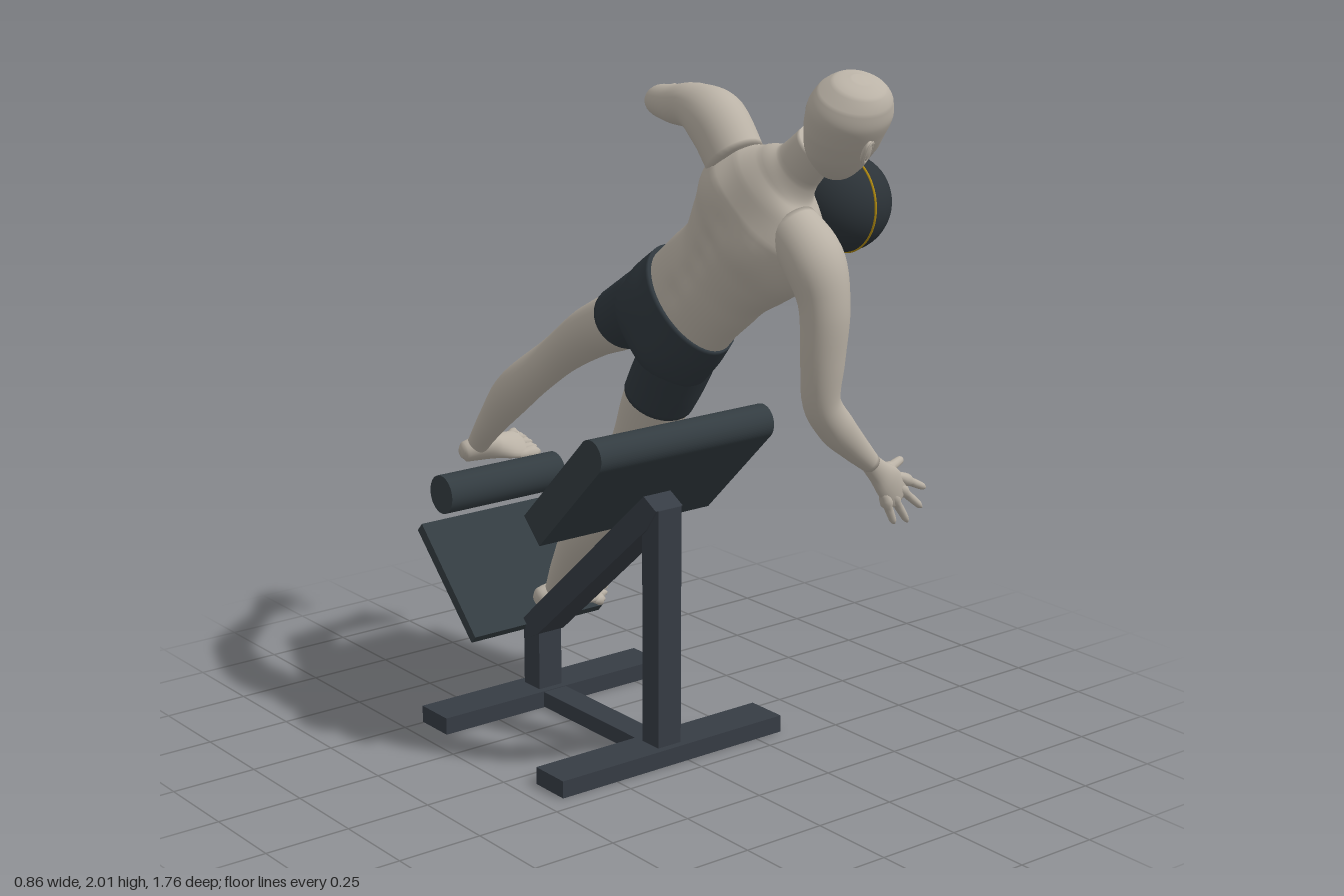
import * as THREE from 'three';

const mat = (name, color) => Object.assign(new THREE.MeshStandardMaterial({ color }), { name });
const V = (x, y, z) => new THREE.Vector3(x, y, z);

export function createModel() {
  const root = new THREE.Group();
  const skin = mat('skin', 0xbab2a6), cloth = mat('shorts cloth', 0x2f373d);
  const steel = mat('frame steel', 0x363c44), vinyl = mat('padding', 0x333c41);
  const rubber = mat('ball rubber', 0x2c3338), gold = mat('gold seam', 0xb08a10);

  function add(name, geo, material, parent = root) {
    const m = new THREE.Mesh(geo, material);
    m.name = name;
    parent.add(m);
    return m;
  }

  // Smooth tube through sections [x, y, z, radius along side, radius across];
  // bumps [x, y, z, reach, height] swell or dent the skin.
  function loft(rows, { side = V(1, 0, 0), around = 28, steps = 6, bumps = [] } = {}) {
    const path = new THREE.CatmullRomCurve3(rows.map(r => V(r[0], r[1], r[2])));
    const size = new THREE.CatmullRomCurve3(rows.map(r => V(r[3], r[4], 0)));
    const n = (rows.length - 1) * steps, pos = [], idx = [];
    for (let i = 0; i <= n; i++) {
      const c = path.getPoint(i / n), s = size.getPoint(i / n), t = path.getTangent(i / n);
      const u = side.clone().addScaledVector(t, -side.dot(t)).normalize();
      const v = t.clone().cross(u);
      for (let j = 0; j < around; j++) {
        const a = j / around * Math.PI * 2;
        const p = c.clone().addScaledVector(u, s.x * Math.cos(a)).addScaledVector(v, s.y * Math.sin(a));
        pos.push(p.x, p.y, p.z);
        const k = (j + 1) % around, b = i * around;
        if (i < n) idx.push(b + j, b + k, b + around + j, b + k, b + around + k, b + around + j);
      }
    }
    const first = pos.length / 3, last = n * around;
    pos.push(...path.getPoint(0).toArray(), ...path.getPoint(1).toArray());
    for (let j = 0; j < around; j++) {
      const k = (j + 1) % around;
      idx.push(first, k, j, first + 1, last + j, last + k);
    }
    const g = new THREE.BufferGeometry();
    g.setAttribute('position', new THREE.Float32BufferAttribute(pos, 3));
    g.setIndex(idx);
    g.computeVertexNormals();
    const P = g.attributes.position, N = g.attributes.normal;
    for (let i = 0; i < P.count; i++) {
      const p = V().fromBufferAttribute(P, i), q = p.clone();
      for (const [x, y, z, r, h] of bumps)
        q.addScaledVector(V().fromBufferAttribute(N, i), h * Math.exp(-p.distanceToSquared(V(x, y, z)) / (r * r)));
      P.setXYZ(i, q.x, q.y, q.z);
    }
    g.computeVertexNormals();
    return g;
  }

  // Box given by its limits on x, y and z
  function box(name, x0, x1, y0, y1, z0, z1) {
    const m = add(name, new THREE.BoxGeometry(x1 - x0, y1 - y0, z1 - z0), steel);
    m.position.set((x0 + x1) / 2, (y0 + y1) / 2, (z0 + z1) / 2);
  }
  // Side outline in (-z, y), extruded from x0 to x1
  function slab(name, shape, x0, x1, material) {
    const g = new THREE.ExtrudeGeometry(shape, { depth: x1 - x0, bevelEnabled: false, curveSegments: 16 });
    const m = add(name, g.rotateY(Math.PI / 2), material);
    m.position.x = x0;
  }
  const poly = pts => new THREE.Shape(pts.map(p => new THREE.Vector2(...p)));

  // Bench frame
  box('frontFoot', -0.435, 0.34, 0, 0.05, 0.065, 0.19);
  box('rearFoot', -0.435, 0.34, 0, 0.05, -0.505, -0.38);
  box('baseBeam', -0.09, -0.01, 0.002, 0.048, -0.4, 0.1);
  box('frontPost', -0.09, -0.01, 0.04, 0.745, 0.095, 0.168);
  box('rearPost', -0.09, -0.01, 0.04, 0.235, -0.478, -0.402);
  slab('diagonalBeam', poly([[-0.165, 0.745], [-0.11, 0.775], [0.478, 0.25], [0.44, 0.205], [0.4, 0.225], [-0.12, 0.68]]),
    -0.097, -0.003, steel);
  slab('padBracket', poly([[-0.1, 0.77], [-0.04, 0.71], [0, 0.66], [-0.03, 0.6], [-0.13, 0.69]]), -0.085, -0.015, steel);

  // Hip pad with a rounded upper end
  const padShape = new THREE.Shape();
  padShape.moveTo(0.036, 0.644);
  padShape.lineTo(0.106, 0.714);
  padShape.lineTo(-0.165, 0.985);
  padShape.absarc(-0.2, 0.95, 0.05, Math.PI / 4, Math.PI * 1.25, false);
  slab('hipPad', padShape, -0.345, 0.25, vinyl);

  // Foot plate and ankle roller
  slab('footPlate', poly([[0.455, 0.24], [0.475, 0.218], [0.75, 0.493], [0.727, 0.518]]), -0.28, 0.183, vinyl);
  const roller = add('ankleRoller', new THREE.CylinderGeometry(0.058, 0.058, 0.41, 32), vinyl);
  roller.rotation.z = Math.PI / 2;
  roller.position.set(-0.048, 0.62, -0.66);

  // Ball with a thin seam
  const ball = new THREE.Group();
  ball.name = 'ball';
  ball.position.set(0.268, 1.61, 0.49);
  root.add(ball);
  add('ballBody', new THREE.SphereGeometry(0.132, 40, 28), rubber, ball);
  add('ballSeam', new THREE.TorusGeometry(0.132, 0.0035, 8, 64), gold, ball).rotation.y = Math.PI / 2;

  // Torso and neck, with chest, shoulder blades and spine groove
  const bumps = [];
  for (const s of [-1, 1]) {
    bumps.push([0.11, 1.605 + s * 0.065, 0.5 - s * 0.065, 0.065, 0.014]);
    bumps.push([-0.14, 1.61 + s * 0.075, 0.5 - s * 0.075, 0.06, 0.014]);
  }
  for (let i = 0; i < 5; i++) {
    const k = i * 0.055;
    bumps.push([-0.135, 1.38 + k, 0.27 + k, 0.03, -0.009], [0.11, 1.38 + k, 0.27 + k, 0.025, -0.006]);
  }
  add('torso', loft([
    [-0.02, 1.30, 0.18, 0.112, 0.168], [-0.02, 1.38, 0.27, 0.108, 0.163], [-0.015, 1.445, 0.35, 0.11, 0.162],
    [-0.015, 1.525, 0.43, 0.122, 0.195], [-0.018, 1.59, 0.49, 0.13, 0.22], [-0.02, 1.65, 0.535, 0.122, 0.212],
    [-0.02, 1.695, 0.57, 0.1, 0.16], [-0.015, 1.725, 0.595, 0.078, 0.105], [-0.005, 1.757, 0.63, 0.064, 0.07],
    [0.01, 1.82, 0.69, 0.06, 0.06]], { around: 48, steps: 7, bumps }), skin);

  // Head, facing +x, tilted with the body
  const head = new THREE.Group();
  head.name = 'head';
  head.position.set(0.022, 1.873, 0.765);
  head.rotation.set(0.49, 0.1, 0);
  root.add(head);
  const face = [[0.12, -0.035, 0, 0.018, 0.026], [0.125, -0.005, 0, 0.014, 0.012], [0.115, -0.078, 0, 0.017, 0.009],
    [0.11, -0.097, 0, 0.01, -0.005], [0.1, -0.125, 0, 0.03, 0.01]];
  for (const s of [-1, 1]) {
    face.push([0.108, 0.005, s * 0.036, 0.017, -0.013], [0.11, 0.03, s * 0.035, 0.018, 0.005]);
    face.push([0.085, -0.035, s * 0.058, 0.025, 0.005]);
    const ear = add(s > 0 ? 'rightEar' : 'leftEar', new THREE.SphereGeometry(1, 16, 12), skin, head);
    ear.scale.set(0.02, 0.034, 0.01);
    ear.position.set(-0.005, -0.01, s * 0.096);
    ear.rotation.set(0, s * 0.35, 0.15);
    const rim = add('earRim', new THREE.TorusGeometry(1, 0.22, 8, 20), skin, head);
    rim.scale.set(0.018, 0.03, 0.012);
    rim.position.set(-0.006, -0.008, s * 0.103);
    rim.rotation.copy(ear.rotation);
  }
  add('skull', loft([
    [0.06, -0.145, 0, 0.02, 0.02], [0.055, -0.135, 0, 0.045, 0.04], [0.035, -0.1, 0, 0.075, 0.066],
    [0.015, -0.05, 0, 0.1, 0.082], [0.005, 0, 0, 0.114, 0.092], [0, 0.05, 0, 0.12, 0.097],
    [-0.003, 0.095, 0, 0.105, 0.087], [-0.005, 0.125, 0, 0.075, 0.063], [-0.005, 0.141, 0, 0.025, 0.022]],
    { around: 72, steps: 8, bumps: face }), skin, head);

  // Arms
  add('rightArm', loft([
    [-0.03, 1.6, 0.63, 0.07, 0.08], [-0.028, 1.535, 0.715, 0.08, 0.08], [-0.02, 1.43, 0.752, 0.068, 0.064],
    [-0.015, 1.28, 0.745, 0.06, 0.054], [0, 1.16, 0.727, 0.05, 0.048], [0.055, 1.085, 0.72, 0.05, 0.046],
    [0.125, 1.02, 0.71, 0.04, 0.036], [0.2, 0.955, 0.7, 0.027, 0.026]]), skin);
  add('leftArm', loft([
    [-0.04, 1.74, 0.43, 0.075, 0.085], [-0.035, 1.83, 0.345, 0.078, 0.085], [-0.025, 1.86, 0.25, 0.066, 0.063],
    [0, 1.85, 0.13, 0.056, 0.053], [0.04, 1.842, 0.02, 0.05, 0.044], [0.1, 1.833, -0.05, 0.046, 0.04],
    [0.17, 1.825, -0.12, 0.036, 0.032], [0.23, 1.818, -0.18, 0.027, 0.024]]), skin);

  // Hands: flat palm, four fingers and a thumb reaching given tips
  function hand(name, wrist, palm, tips, thumb) {
    const g = new THREE.Group();
    g.name = name;
    root.add(g);
    const w = V(...wrist), p = V(...palm), side = V(...tips[3]).sub(V(...tips[0])).normalize();
    const mid = V(...tips[1]).add(V(...tips[2])).multiplyScalar(0.5).lerp(p, 0.62);
    add('palm', loft([[...w, 0.026, 0.023], [...w.clone().lerp(p, 0.5), 0.034, 0.022], [...p, 0.046, 0.02],
      [...mid, 0.042, 0.014], [...mid.clone().lerp(p, -0.2), 0.025, 0.007]], { side, around: 20 }), skin, g);
    const finger = (label, from, tip, r) => {
      const at = t => from.clone().lerp(tip, t).toArray();
      add(label, loft([[...at(0), r, r], [...at(0.5), r, r], [...at(0.9), r * 0.8, r * 0.8], [...at(1), r * 0.3, r * 0.3]],
        { side, around: 12, steps: 4 }), skin, g);
    };
    tips.forEach((t, i) => finger('finger', p.clone().addScaledVector(side, (i - 1.5) * 0.02), V(...t), 0.012));
    finger('thumb', w.clone().lerp(p, 0.6), V(...thumb), 0.014);
  }
  hand('rightHand', [0.19, 0.963, 0.701], [0.275, 0.885, 0.69],
    [[0.425, 0.84, 0.672], [0.418, 0.785, 0.667], [0.365, 0.755, 0.67], [0.305, 0.765, 0.682]], [0.365, 0.925, 0.642]);
  hand('leftHand', [0.22, 1.819, -0.17], [0.3, 1.81, -0.245],
    [[0.425, 1.78, -0.295], [0.418, 1.793, -0.345], [0.385, 1.8, -0.37], [0.335, 1.795, -0.372]], [0.4, 1.765, -0.205]);

  // Legs
  add('rightLeg', loft([
    [-0.015, 1.2, 0.18, 0.09, 0.085], [-0.01, 1.05, 0.07, 0.098, 0.09], [0, 0.89, -0.02, 0.088, 0.082],
    [0, 0.715, -0.143, 0.062, 0.062], [-0.025, 0.6, -0.235, 0.064, 0.064], [-0.025, 0.45, -0.345, 0.046, 0.045],
    [-0.01, 0.335, -0.425, 0.036, 0.033], [-0.005, 0.305, -0.452, 0.036, 0.032]]), skin);
  add('leftLeg', loft([
    [-0.01, 1.32, 0.09, 0.09, 0.085], [-0.01, 1.235, -0.07, 0.096, 0.086], [-0.01, 1.16, -0.235, 0.084, 0.075],
    [-0.025, 1.045, -0.41, 0.062, 0.06], [-0.05, 0.935, -0.55, 0.064, 0.063], [-0.05, 0.81, -0.68, 0.046, 0.046],
    [-0.035, 0.72, -0.775, 0.036, 0.033], [-0.03, 0.69, -0.803, 0.036, 0.032]]), skin);

  // Feet pointing to +x; inner is the side of the big toe
  function foot(name, x, y, z, tilt, inner) {
    const g = new THREE.Group();
    g.name = name;
    g.position.set(x, y, z);
    g.rotation.x = tilt;
    root.add(g);
    const up = { side: V(0, 1, 0), around: 20 };
    add('footBody', loft([[-0.066, -0.035, 0, 0.014, 0.014], [-0.052, -0.03, 0, 0.036, 0.03], [0, -0.02, 0, 0.05, 0.035],
      [0.06, -0.034, 0, 0.036, 0.038], [0.12, -0.047, 0, 0.023, 0.046], [0.17, -0.055, 0, 0.015, 0.047],
      [0.18, -0.057, 0, 0.008, 0.04]], up), skin, g);
    for (let i = 0; i < 5; i++) {
      const r = i ? 0.0095 : 0.014, tz = inner * (0.036 - i * 0.019), end = 0.222 - i * i * 0.0025;
      add('toe', loft([[0.14, -0.054, tz, r, r], [end - 0.012, -0.058, tz, r, r], [end, -0.06, tz, r * 0.4, r * 0.4]],
        { side: up.side, around: 12, steps: 4 }), skin, g);
    }
  }
  foot('rightFoot', 0, 0.335, -0.43, 0.75, -1);
  foot('leftFoot', -0.018, 0.705, -0.785, 0.8, 1);

  // Shorts: hips with buttocks, and two short legs
  add('shortsHips', loft([
    [-0.018, 1.343, 0.22, 0.117, 0.174], [-0.02, 1.29, 0.165, 0.12, 0.184], [-0.018, 1.24, 0.11, 0.118, 0.186],
    [-0.015, 1.205, 0.075, 0.1, 0.13], [-0.015, 1.19, 0.06, 0.06, 0.06]],
    { around: 48, bumps: [[-0.13, 1.31, 0.06, 0.08, 0.018], [-0.13, 1.17, 0.18, 0.08, 0.018]] }), cloth);
  add('shortsRightLeg', loft([[-0.018, 1.27, 0.22, 0.09, 0.08], [-0.018, 1.19, 0.172, 0.112, 0.097],
    [-0.012, 1.11, 0.115, 0.109, 0.1], [-0.01, 1.04, 0.068, 0.103, 0.097]]), cloth);
  add('shortsLeftLeg', loft([[-0.018, 1.355, 0.15, 0.09, 0.08], [-0.018, 1.32, 0.07, 0.112, 0.095],
    [-0.012, 1.272, -0.01, 0.109, 0.096], [-0.01, 1.23, -0.085, 0.102, 0.092]]), cloth);

  return root;
}
